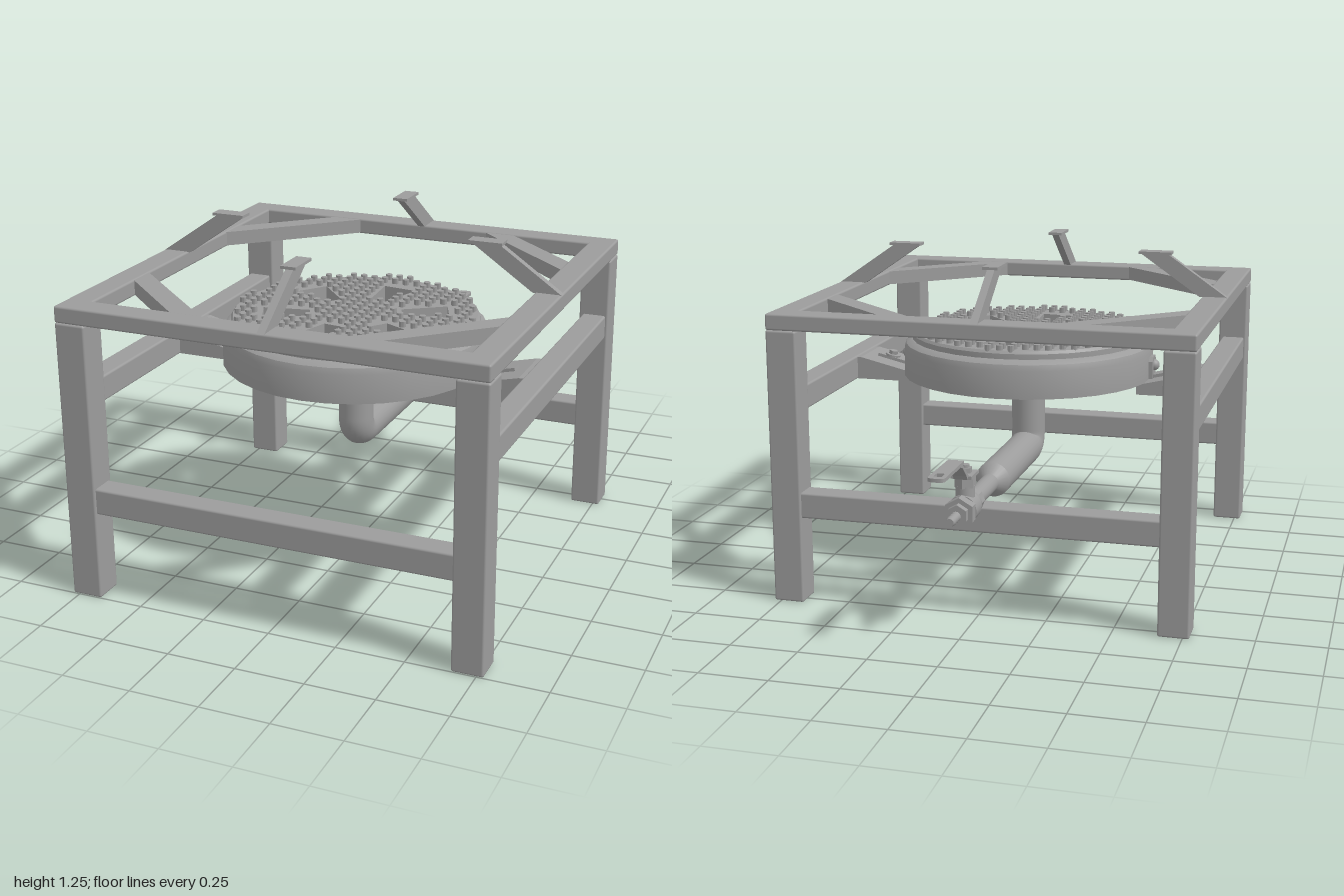
import * as THREE from 'three';
import { toCreasedNormals } from 'three/addons/utils/BufferGeometryUtils.js';
import { RoundedBoxGeometry } from 'three/addons/geometries/RoundedBoxGeometry.js';

const STEEL = 0x9c9c9c;
const steel = new THREE.MeshStandardMaterial({ color: STEEL });
const steelOpen = new THREE.MeshStandardMaterial({ color: STEEL, side: THREE.DoubleSide });

export function createModel() {
  const model = new THREE.Group();
  model.name = 'gasBurnerStand';
  const stand = new THREE.Group(); // everything is laid out around the burner axis
  stand.name = 'stand';
  stand.position.z = 0.225;
  model.add(stand);

  const add = (name, geometry, x = 0, y = 0, z = 0, parent = stand, material = steel) => {
    const mesh = new THREE.Mesh(geometry, material);
    mesh.name = name;
    mesh.position.set(x, y, z);
    parent.add(mesh);
    return mesh;
  };
  const beam = (name, w, h, d, x, y, z) =>
    add(name, new RoundedBoxGeometry(w, h, d, 2, 0.008), x, y, z);
  const polygon = (pts) => new THREE.Shape(pts.map((p) => new THREE.Vector2(...p)));
  const prism = (shape, depth) => new THREE.ExtrudeGeometry(shape, { depth, bevelEnabled: false, curveSegments: 24 });
  // Cylinder lying along z, r1 at the front end
  const rod = (name, r1, r2, z1, z2, y, sides = 24, parent = stand) => {
    const g = new THREE.CylinderGeometry(r1, r2, z1 - z2, sides).rotateX(Math.PI / 2);
    return add(name, sides < 10 ? toCreasedNormals(g, 0.5) : g, 0, y, (z1 + z2) / 2, parent);
  };
  const post = (name, r, y1, y2, x, z, sides, parent) => {
    const g = new THREE.CylinderGeometry(r, r, y2 - y1, sides);
    return add(name, sides < 10 ? toCreasedNormals(g, 0.5) : g, x, (y1 + y2) / 2, z, parent);
  };

  // Legs, rails, top frame and its corner braces
  for (const s of [-1, 1]) {
    for (const t of [-1, 1]) {
      beam('leg', 0.114, 1.02, 0.112, s * 0.718, 0.51, t * 0.719);
      const brace = [[0.69, 0.29], [0.69, 0.395], [0.37, 0.69], [0.255, 0.69]].map(([x, z]) => [s * x, t * z]);
      add('cornerBrace', prism(polygon(brace), 0.054).rotateX(Math.PI / 2), 0, 1.077, 0);
    }
    beam('sideRail', 0.09, 0.093, 1.34, s * 0.72, 0.753, 0);
    beam('crossRail', 1.34, 0.096, 0.09, 0, 0.372, s * 0.72);
    beam('topFrameSide', 0.097, 0.06, 1.55, s * 0.7265, 1.05, 0);
    beam('topFrameEnd', 1.55, 0.06, 0.097, 0, 1.05, s * 0.7265);
  }

  // Pot supports, one per quarter turn
  const armShape = polygon([[0.775, 1.078], [0.545, 1.237], [0.44, 1.237], [0.67, 1.078]]);
  for (let i = 0; i < 4; i++) {
    const support = new THREE.Group();
    support.name = 'potSupport';
    support.rotation.y = (i * Math.PI) / 2;
    stand.add(support);
    add('potSupportArm', prism(armShape, 0.028), 0, 0, -0.014, support);
    add('potSupportPad', new THREE.BoxGeometry(0.125, 0.01, 0.056), 0.498, 1.24, 0, support);
  }

  // Burner core pierced by six wedge-shaped openings
  const HOLES = 6, FIRST = THREE.MathUtils.degToRad(97), HALF = THREE.MathUtils.degToRad(11);
  const core = new THREE.Shape().absarc(0, 0, 0.44, 0, Math.PI * 2);
  for (let i = 0; i < HOLES; i++) {
    const a = FIRST + (i * Math.PI * 2) / HOLES;
    const corner = (r, b) => new THREE.Vector2(r * Math.cos(b), r * Math.sin(b));
    core.holes.push(new THREE.Path([
      corner(0.17, a - HALF), corner(0.345, a - HALF), corner(0.345, a + HALF), corner(0.17, a + HALF),
    ]));
  }
  add('burnerCore', toCreasedNormals(prism(core, 0.17).rotateX(Math.PI / 2), 0.5), 0, 0.92, 0);

  // Rounded burner skirt and raised rim
  const skirt = [[0.435, 0.75], [0.488, 0.75], [0.488, 0.855], [0.481, 0.877], [0.462, 0.89],
    [0.455, 0.892], [0.455, 0.912], [0.447, 0.922], [0.435, 0.922]].map((p) => new THREE.Vector2(...p));
  add('burnerSkirt', toCreasedNormals(new THREE.LatheGeometry(skirt, 32), 0.6), 0, 0, 0, stand, steelOpen);

  // Grid of flame studs, skipping the openings
  const studs = new THREE.Group();
  studs.name = 'flameStuds';
  stand.add(studs);
  const studGeometry = toCreasedNormals(new THREE.CylinderGeometry(0.0125, 0.0125, 0.025, 10), 0.8);
  const PITCH = 0.0435, STEP = (Math.PI * 2) / HOLES;
  for (let i = -10; i <= 10; i++) for (let j = -10; j <= 10; j++) {
    const x = i * PITCH, z = j * PITCH, r = Math.hypot(x, z);
    if (r > 0.442) continue;
    const turn = (Math.atan2(z, x) - FIRST) / STEP;
    const off = Math.abs(turn - Math.round(turn)) * STEP;
    if (r > 0.155 && r < 0.36 && r * Math.sin(off) < r * Math.sin(HALF) + 0.012) continue;
    add('flameStud', studGeometry, x, 0.928, z, studs);
  }

  // Side brackets holding the burner: wedge, strap, lug and bolts
  const wedge = polygon([[0.45, 0.708], [0.68, 0.708], [0.68, 0.795], [0.66, 0.795], [0.45, 0.745]]);
  const lug = polygon([[-0.037, 0.755], [0.037, 0.755], [0.037, 0.822], [0.022, 0.84], [-0.022, 0.84], [-0.037, 0.822]]);
  for (let i = 0; i < 2; i++) {
    const side = new THREE.Group();
    side.name = 'burnerMount';
    side.rotation.y = i * Math.PI;
    stand.add(side);
    add('mountWedge', prism(wedge, 0.22), 0, 0, -0.11, side);
    add('mountLug', prism(lug, 0.02).rotateY(Math.PI / 2), 0.48, 0, 0, side);
    const strap = add('mountStrap', new THREE.BoxGeometry(0.13, 0.012, 0.05), 0.555, 0.777, 0, side);
    strap.rotation.z = 0.235;
    const bolt = new THREE.Group();
    bolt.name = 'strapBolt';
    bolt.position.set(0.565, 0.783, 0);
    bolt.rotation.z = 0.235;
    side.add(bolt);
    post('strapWasher', 0.03, 0, 0.01, 0, 0, 20, bolt);
    post('strapBoltHead', 0.018, 0.01, 0.024, 0, 0, 6, bolt);
    const dome = new THREE.SphereGeometry(0.022, 16, 8, 0, Math.PI * 2, 0, Math.PI / 2).rotateZ(-Math.PI / 2);
    add('lugBolt', dome, 0.499, 0.805, 0, side);
  }

  // Bent gas pipe, reducer and thin inlet pipe
  const PY = 0.455, BEND = 0.065;
  const bend = new THREE.CurvePath();
  const v = (y, z) => new THREE.Vector3(0, y, z);
  bend.add(new THREE.LineCurve3(v(0.76, 0), v(PY + BEND, 0)));
  bend.add(new THREE.QuadraticBezierCurve3(v(PY + BEND, 0), v(PY, 0), v(PY, -BEND)));
  bend.add(new THREE.LineCurve3(v(PY, -BEND), v(PY, -0.53)));
  add('gasPipe', new THREE.TubeGeometry(bend, 100, 0.065, 24), 0, 0, 0, stand, steelOpen);
  rod('pipeReducer', 0.065, 0.034, -0.53, -0.575, PY);
  rod('inletPipe', 0.034, 0.034, -0.57, -0.8, PY);

  // Ball valve body and hose tail
  const valve = new THREE.Group();
  valve.name = 'valve';
  stand.add(valve);
  rod('valveCollar', 0.043, 0.043, -0.785, -0.83, PY, 8, valve);
  rod('valveBody', 0.043, 0.052, -0.825, -0.86, PY, 24, valve);
  rod('valveBodyMiddle', 0.052, 0.052, -0.86, -0.925, PY, 24, valve);
  rod('valveNut', 0.056, 0.056, -0.925, -0.965, PY, 6, valve);
  rod('valveOutletNut', 0.038, 0.038, -0.965, -0.99, PY, 6, valve);
  rod('hoseTail', 0.014, 0.014, -0.98, -1.065, PY, 16, valve);
  for (const z of [-1.01, -1.035, -1.06]) rod('hoseBarb', 0.018, 0.014, z + 0.011, z - 0.011, PY, 16, valve);

  // Valve stem with nuts
  post('valveNeck', 0.034, PY, 0.535, 0, -0.885, 20, valve);
  post('valvePackingNut', 0.038, 0.53, 0.57, 0, -0.885, 6, valve);
  post('valveStem', 0.016, 0.56, 0.61, 0, -0.885, 16, valve);
  post('valveStemNut', 0.025, 0.58, 0.6, 0, -0.885, 6, valve);

  // Lever handle: seat plate, cranked neck and slotted grip
  add('leverSeat', new THREE.BoxGeometry(0.075, 0.012, 0.09), 0, 0.575, -0.89, valve);
  const neck = polygon([[-0.925, 0.569], [-0.925, 0.581], [-0.945, 0.597], [-0.995, 0.64], [-1.03, 0.652],
    [-1.03, 0.639], [-1.0, 0.629], [-0.95, 0.585], [-0.938, 0.569]].map(([z, y]) => [-z, y]));
  add('leverNeck', prism(neck, 0.05).rotateY(Math.PI / 2), 0, 0, 0, valve).position.x = -0.025;
  const grip = new THREE.Shape();
  grip.moveTo(-0.028, -0.99).lineTo(-0.03, -1.21).quadraticCurveTo(-0.028, -1.225, 0, -1.225)
    .quadraticCurveTo(0.028, -1.225, 0.03, -1.21).lineTo(0.028, -0.99);
  grip.holes.push(new THREE.Path([[-0.014, -1.2], [0.014, -1.2], [0.014, -1.16], [-0.014, -1.16]]
    .map((p) => new THREE.Vector2(...p))));
  add('leverGrip', prism(grip, 0.013).rotateX(Math.PI / 2), 0, 0.652, 0, valve);

  return model;
}
